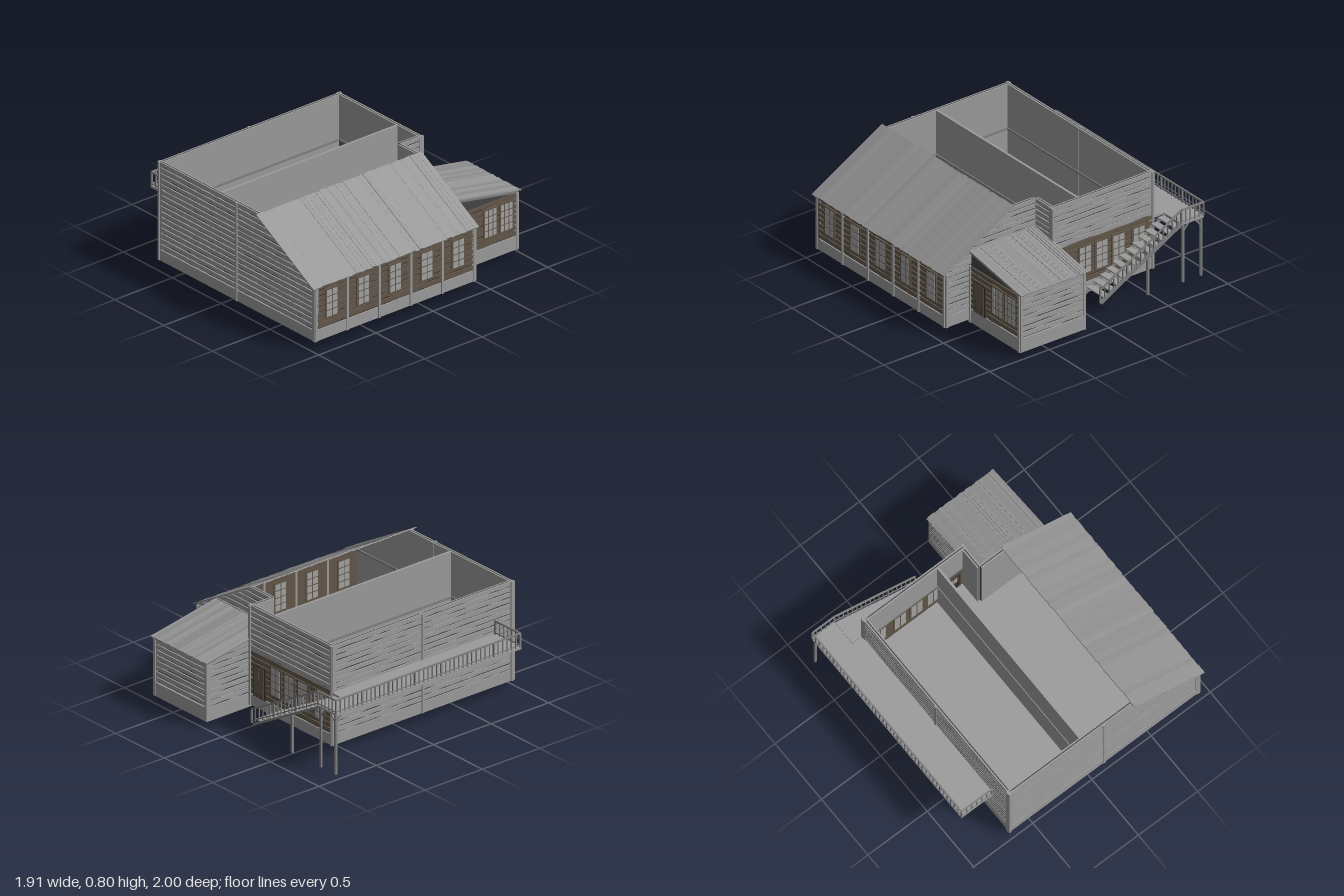
import * as THREE from 'three';

const mat = (name, color, side = THREE.FrontSide) => {
  const m = new THREE.MeshStandardMaterial({ color, side });
  m.name = name;
  return m;
};

export function createModel() {
  const grey = mat('wall grey', 0x9b9b9b);
  const roofGrey = mat('roof grey', 0x939393);
  const groove = mat('groove grey', 0x454545);
  const railGrey = mat('rail grey', 0x808080);
  const wood = mat('log brown', 0x62574a);
  const darkWood = mat('dark brown', 0x3b332a);
  const glass = mat('pane grey', 0xa3a3a3);

  const model = new THREE.Group();
  model.name = 'house';
  let seed = 7;
  const rnd = () => (seed = (seed * 16807) % 2147483647) / 2147483647;

  function group(name, parent = model) {
    const g = new THREE.Group();
    g.name = name;
    parent.add(g);
    return g;
  }
  // Box given by its minimum and maximum corners
  function box(name, a, b, m, parent = model) {
    const mesh = new THREE.Mesh(new THREE.BoxGeometry(b[0] - a[0], b[1] - a[1], b[2] - a[2]), m);
    mesh.position.set((a[0] + b[0]) / 2, (a[1] + b[1]) / 2, (a[2] + b[2]) / 2);
    mesh.name = name;
    parent.add(mesh);
    return mesh;
  }
  // Square bar between two points
  function bar(name, a, b, size, parent, m = railGrey) {
    const p = new THREE.Vector3(...a), q = new THREE.Vector3(...b);
    const mesh = new THREE.Mesh(new THREE.BoxGeometry(size, size, p.distanceTo(q)), m);
    mesh.position.copy(p).lerp(q, 0.5);
    mesh.lookAt(q);
    mesh.name = name;
    parent.add(mesh);
  }
  function plate(name, pts, depth, z, m, parent) {
    const shape = new THREE.Shape(pts.map(p => new THREE.Vector2(...p)));
    const mesh = new THREE.Mesh(new THREE.ExtrudeGeometry(shape, { depth, bevelEnabled: false }), m);
    mesh.position.z = z;
    mesh.name = name;
    parent.add(mesh);
  }
  // Group whose local +z points out of a wall
  function face(name, x, z, turn) {
    const g = group(name);
    g.position.set(x, 0, z);
    g.rotation.y = turn;
    return g;
  }
  // Boarded wall: lo(y) and hi(y) give its side limits, boards have wavy lower edges
  function siding(g, lo, hi, y0, y1, board = grey, gap = groove, liner = grey) {
    const ys = y0 < 0.46 && y1 > 0.46 ? [y0, 0.46, y1] : [y0, y1];
    const outline = [...ys.map(y => [hi(y), y]), ...ys.slice().reverse().map(y => [lo(y), y])];
    plate('groove backing', outline, 0.008, -0.008, gap, g);
    plate('inner lining', outline, 0.01, -0.018, liner, g);
    const n = Math.round((y1 - y0) / 0.041), h = (y1 - y0) / n;
    for (let i = 0; i < n; i++) {
      const b = y0 + i * h, t = b + h, l = lo(b), r = hi(b);
      const k = Math.max(2, Math.round((r - l) / 0.075));
      const pts = [];
      for (let j = 0; j <= k; j++) pts.push([l + (r - l) * j / k, b + 0.004 + rnd() * 0.011]);
      pts.push([hi(t), t], [lo(t), t]);
      plate('board', pts, 0.01, 0, board, g);
    }
  }
  function post(g, u, y0, y1) {
    box('post', [u - 0.009, y0, -0.02], [u + 0.009, y1, 0.018], grey, g);
  }
  function windowAt(g, u, w = 0.115, cols = 2, y0 = 0.205, y1 = 0.425, rows = 4) {
    const f = group('window', g);
    box('window frame', [u - w / 2, y0, -0.022], [u + w / 2, y1, 0.016], wood, f);
    const pw = (w - 0.016) / cols, ph = (y1 - y0 - 0.016) / rows;
    for (let i = 0; i < cols; i++) for (let j = 0; j < rows; j++) {
      const x = u - w / 2 + 0.008 + i * pw, y = y0 + 0.008 + j * ph;
      box('pane', [x + 0.004, y + 0.004, -0.024], [x + pw - 0.004, y + ph - 0.004, 0.018], glass, f);
    }
  }
  function doorAt(g, u) {
    const f = group('door', g);
    box('door frame', [u - 0.062, 0.14, -0.02], [u + 0.062, 0.37, 0.014], darkWood, f);
    box('door leaf', [u - 0.052, 0.145, -0.02], [u + 0.052, 0.36, 0.018], wood, f);
    windowAt(f, u, 0.08, 2, 0.26, 0.35, 2);
    box('door panel', [u - 0.036, 0.165, 0.018], [u + 0.036, 0.24, 0.021], darkWood, f);
    box('door inset', [u - 0.03, 0.171, 0.02], [u + 0.03, 0.234, 0.023], wood, f);
  }
  const c = v => () => v;
  const slopeX = y => (y > 0.46 ? 0.93 - (y - 0.46) * 0.57 / 0.33 : 0.93);
  const slopeZ = y => (y > 0.46 ? -0.97 + (y - 0.46) / 0.2 : -0.97);

  // Front wall with sloping right end
  const front = face('front wall', 0, 0.96, 0);
  siding(front, c(-0.67), slopeX, 0.14, 0.79);
  post(front, -0.67, 0.06, 0.79);
  post(front, 0.125, 0.06, 0.79);
  post(front, 0.92, 0.06, 0.46);
  bar('sloping trim', [0.36, 0.785, 0.01], [0.93, 0.455, 0.01], 0.018, front, grey);

  // Side wall under the balcony, facing -x
  const side = face('balcony side wall', -0.665, 0, -Math.PI / 2);
  siding(side, c(-0.6), c(0.96), 0.14, 0.79);
  for (const u of [-0.6, 0.18, 0.96]) post(side, u, 0.06, 0.79);

  // Back wall: log storey with boards above
  const back = face('back wall', 0, -0.6, Math.PI);
  siding(back, c(-0.17), c(0.67), 0.14, 0.46, wood, darkWood, wood);
  siding(back, c(-0.17), c(0.67), 0.46, 0.79);
  doorAt(back, -0.07);
  for (const u of [0.1, 0.24, 0.38, 0.55]) windowAt(back, u);
  for (const u of [-0.17, 0.67]) post(back, u, 0.06, 0.79);

  // Step in the back wall and the wall behind the annex
  const step = face('step wall', 0.165, 0, Math.PI / 2);
  siding(step, c(0.42), c(0.6), 0.14, 0.79);
  const rear = face('rear sloping wall', 0, -0.42, Math.PI);
  siding(rear, y => -slopeX(y), c(-0.17), 0.14, 0.79);
  post(rear, -0.92, 0.06, 0.46);

  // Window side, facing +x
  const logs = face('window wall', 0.92, 0, Math.PI / 2);
  siding(logs, c(-0.96), c(0.42), 0.14, 0.46, wood, darkWood, wood);
  for (let i = 0; i < 6; i++) {
    const u = -0.965 + i * 0.276;
    post(logs, u, 0.06, 0.46);
    if (i < 5) windowAt(logs, u + 0.138);
  }

  // Annex walls
  const annexRight = face('annex window wall', 0.715, 0, Math.PI / 2);
  siding(annexRight, c(0.42), c(0.97), 0.14, 0.46, wood, darkWood, wood);
  plate('gable', [[0.42, 0.46], [0.97, 0.46], [0.42, 0.565]], 0.012, -0.014, groove, annexRight);
  doorAt(annexRight, 0.535);
  windowAt(annexRight, 0.73, 0.125, 3);
  windowAt(annexRight, 0.87, 0.125, 3);
  for (const u of [0.43, 0.965]) post(annexRight, u, 0.04, 0.46);
  const annexLeft = face('annex plain wall', 0.185, 0, -Math.PI / 2);
  siding(annexLeft, slopeZ, c(-0.42), 0.14, 0.565);
  const annexBack = face('annex back wall', 0, -0.965, Math.PI);
  siding(annexBack, c(-0.715), c(-0.185), 0.14, 0.46);
  for (const u of [-0.715, -0.185]) post(annexBack, u, 0.04, 0.46);

  // Foundations, cross beams and floors
  const base = group('foundation');
  for (const [x0, z0, x1, z1, y] of [
    [-0.675, 0.94, 0.93, 0.972, 0.06], [-0.675, -0.61, -0.645, 0.972, 0.06],
    [-0.675, -0.61, 0.175, -0.58, 0.06], [0.145, -0.61, 0.175, -0.41, 0.06],
    [0.145, -0.43, 0.93, -0.4, 0.06], [0.9, -0.43, 0.93, 0.972, 0.06],
    [0.11, -0.42, 0.135, 0.95, 0.06], [-0.07, -0.6, -0.045, 0.95, 0.06],
    [0.175, -0.98, 0.725, -0.95, 0.04], [0.175, -0.98, 0.2, -0.42, 0.04],
    [0.7, -0.98, 0.725, -0.42, 0.04], [0.175, -0.45, 0.725, -0.425, 0.04],
  ]) box('foundation beam', [x0, y, z0], [x1, 0.14, z1], grey, base);
  box('main floor', [-0.66, 0.128, -0.6], [0.16, 0.142, 0.955], grey, base);
  box('window side floor', [0.16, 0.128, -0.42], [0.91, 0.142, 0.955], grey, base);
  box('annex floor', [0.19, 0.128, -0.96], [0.71, 0.142, -0.43], grey, base);

  // Inner partition and mid-height rails
  box('partition', [-0.066, 0.14, -0.585], [-0.048, 0.79, 0.945], grey);
  for (const [a, b] of [[[-0.648, -0.58], [-0.64, 0.94]], [[-0.074, -0.58], [-0.04, 0.94]],
    [[-0.65, 0.934], [0.9, 0.942]], [[-0.65, -0.582], [0.15, -0.574]]])
    box('inner rail', [a[0], 0.45, a[1]], [b[0], 0.465, b[1]], railGrey);

  // Roof of uneven strips running down the slope
  function roof(name, mid, turn, drop, len, width, n, tilt) {
    const g = group(name);
    g.position.set(...mid);
    g.rotation.order = 'YZX';
    g.rotation.y = turn;
    g.rotation.z = -drop;
    const w = width / n;
    for (let i = 0; i < n; i++) {
      const strip = new THREE.Mesh(new THREE.BoxGeometry(len - rnd() * 0.014, 0.007, w * 1.06), roofGrey);
      strip.position.set(0, rnd() * 0.003, -width / 2 + (i + 0.5) * w);
      strip.rotation.x = (rnd() - 0.5) * tilt;
      strip.name = 'roof strip';
      g.add(strip);
    }
    return g;
  }
  roof('main roof', [0.655, 0.629, 0.28], 0, Math.atan2(0.335, 0.59), 0.685, 1.44, 42, 0.2);
  const low = roof('annex roof', [0.45, 0.525, -0.708], Math.PI / 2, Math.atan2(0.105, 0.58), 0.59, 0.565, 26, 0.6);
  for (const z of [-0.26, 0.26]) box('rafter', [-0.28, -0.022, z - 0.012], [0.28, -0.004, z + 0.012], railGrey, low);

  // Balcony with posts and braces
  const balcony = group('balcony');
  box('deck', [-0.95, 0.436, -0.61], [-0.675, 0.452, 0.805], grey, balcony);
  box('landing', [-0.95, 0.436, -0.805], [-0.76, 0.452, -0.61], grey, balcony);
  for (const x of [-0.93, -0.78]) {
    bar('balcony post', [x, 0, -0.795], [x, 0.45, -0.795], 0.016, balcony);
    const d = x < -0.85 ? 0.05 : -0.05;
    bar('brace', [x, 0.38, -0.795], [x + d, 0.437, -0.795], 0.01, balcony);
    bar('brace', [x, 0.38, -0.795], [x, 0.437, -0.74], 0.01, balcony);
  }
  for (let i = 0; i < 5; i++) bar('wall brace', [-0.675, 0.39, -0.55 + i * 0.33], [-0.74, 0.44, -0.55 + i * 0.33], 0.01, balcony);
  function railing(a, b, n) {
    const g = group('railing', balcony), up = 0.1;
    const top = p => [p[0], p[1] + up, p[2]];
    bar('hand rail', top(a), top(b), 0.011, g);
    bar('foot rail', [a[0], a[1] + 0.014, a[2]], [b[0], b[1] + 0.014, b[2]], 0.007, g);
    for (let i = 0; i <= n; i++) {
      const p = a.map((v, k) => v + (b[k] - v) * i / n);
      bar('baluster', p, top(p), i % 6 ? 0.007 : 0.011, g);
    }
  }
  railing([-0.945, 0.452, -0.805], [-0.945, 0.452, 0.8], 42);
  railing([-0.945, 0.452, 0.8], [-0.69, 0.452, 0.8], 6);
  railing([-0.945, 0.452, -0.805], [-0.76, 0.452, -0.805], 5);

  // Stairs along the back wall
  railing([-0.76, 0.452, -0.805], [-0.08, 0.075, -0.805], 18);
  const stairs = group('stairs', balcony);
  for (const z of [-0.795, -0.622]) bar('stringer', [-0.77, 0.44, z], [-0.09, 0.065, z], 0.016, stairs);
  for (let i = 0; i < 12; i++) {
    const x = -0.755 + i * 0.054, y = 0.438 - i * 0.0298;
    box('tread', [x, y - 0.008, -0.795], [x + 0.052, y, -0.62], grey, stairs);
  }
  bar('stair post', [-0.485, 0, -0.795], [-0.485, 0.285, -0.795], 0.016, stairs);
  return model;
}
